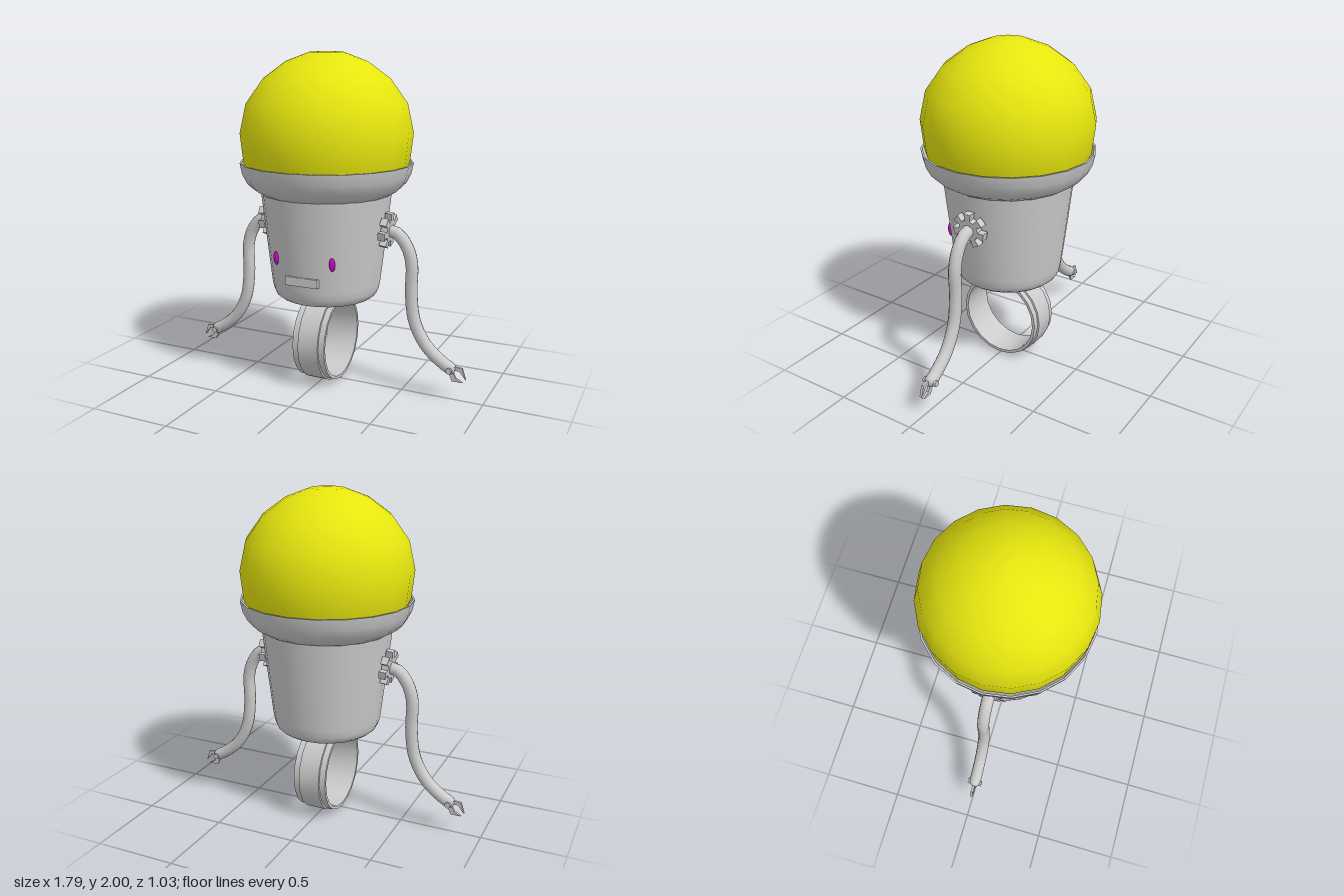
import * as THREE from 'three';
import { toCreasedNormals } from 'three/addons/utils/BufferGeometryUtils.js';

const material = (color) => new THREE.MeshStandardMaterial({ color, side: THREE.DoubleSide });
const grey = material(0xcccccc);
const yellow = material(0xe6e60f);
const magenta = material(0xcc00cc);

function add(parent, name, geometry, mat = grey) {
  const mesh = new THREE.Mesh(geometry, mat);
  mesh.name = name;
  parent.add(mesh);
  return mesh;
}

const vectors = (points) => points.map(([x, y]) => new THREE.Vector2(x, y));
const lathe = (points, segments = 20) => new THREE.LatheGeometry(vectors(points), segments);

// Flat outline given thickness, centred on z = 0
function plate(points, depth) {
  const geometry = new THREE.ExtrudeGeometry(new THREE.Shape(vectors(points)), { depth, bevelEnabled: false });
  return geometry.translate(0, 0, -depth / 2);
}

// Seven-toothed cog outline, teeth flaring slightly outward
function cogPoints(teeth, inner, outer) {
  const points = [];
  for (let i = 0; i < teeth; i++) {
    const middle = Math.PI / 2 + (i * 2 * Math.PI) / teeth;
    for (const [offset, r] of [[-0.24, inner], [-0.23, outer], [0.23, outer], [0.24, inner]]) {
      points.push([r * Math.cos(middle + offset), r * Math.sin(middle + offset)]);
    }
  }
  return points;
}

function createArm(name) {
  const arm = new THREE.Group();
  arm.name = name;

  // Shoulder cog, leaning with the body wall
  const cog = plate(cogPoints(7, 0.065, 0.106), 0.042).rotateY(Math.PI / 2).rotateZ(-0.1);
  add(arm, 'shoulderCog', cog).position.set(0.395, 0.98, 0);

  // Bent limb
  const path = new THREE.CatmullRomCurve3([
    [0.37, 0.98], [0.45, 0.968], [0.512, 0.9], [0.547, 0.797], [0.548, 0.617],
    [0.573, 0.445], [0.645, 0.31], [0.74, 0.225], [0.8, 0.19],
  ].map(([x, y]) => new THREE.Vector3(x, y, 0)));
  add(arm, 'limb', new THREE.TubeGeometry(path, 24, 0.037, 12));

  // Wrist joint and pin
  add(arm, 'wrist', new THREE.SphereGeometry(0.037, 12, 8)).position.set(0.795, 0.193, 0);
  const pin = toCreasedNormals(new THREE.CylinderGeometry(0.018, 0.018, 0.09, 10).rotateX(Math.PI / 2), 0.7);
  add(arm, 'wristPin', pin).position.set(0.8, 0.188, 0);

  // Two bent claws
  add(arm, 'upperClaw', plate([
    [0.79, 0.178], [0.82, 0.182], [0.855, 0.184], [0.894, 0.135], [0.872, 0.202], [0.81, 0.208],
  ], 0.016));
  add(arm, 'lowerClaw', plate([
    [0.785, 0.175], [0.813, 0.115], [0.875, 0.115], [0.833, 0.137], [0.815, 0.178],
  ], 0.016));
  return arm;
}

export function createModel() {
  const model = new THREE.Group();
  model.name = 'robot';

  // Tapered pot body with a rounded foot
  add(model, 'body', lathe([
    [0, 0.54], [0.262, 0.54], [0.285, 0.545], [0.308, 0.563], [0.322, 0.595], [0.33, 0.64],
    [0.36, 0.9], [0.392, 1.19],
  ], 24));

  // Collar bowl with a thin lip
  add(model, 'collar', toCreasedNormals(lathe([
    [0.34, 1.178], [0.392, 1.178], [0.44, 1.207], [0.474, 1.24], [0.502, 1.295], [0.515, 1.36],
    [0.504, 1.36], [0.49, 1.298], [0.462, 1.25], [0.36, 1.19],
  ]), 0.75));

  // Dome
  add(model, 'dome', lathe([
    [0.38, 1.19], [0.44, 1.25], [0.492, 1.36], [0.511, 1.535], [0.473, 1.705], [0.372, 1.845],
    [0.24, 1.942], [0.1, 1.995], [0, 2],
  ]), yellow);

  // Hollow wheel with a raised tread
  const wheel = toCreasedNormals(lathe([
    [0.242, -0.104], [0.26, -0.104], [0.26, -0.067], [0.27, -0.065], [0.27, 0.065], [0.26, 0.067],
    [0.26, 0.104], [0.242, 0.104], [0.242, -0.104],
  ]), 0.6).rotateZ(Math.PI / 2);
  add(model, 'wheel', wheel).position.y = 0.27;

  // Face
  for (const side of [-1, 1]) {
    const eye = add(model, side > 0 ? 'leftEye' : 'rightEye', new THREE.SphereGeometry(1, 12, 10), magenta);
    eye.scale.set(0.018, 0.041, 0.014);
    eye.position.set(side * 0.18, 0.82, 0.307);
    eye.rotation.set(0.1, side * 0.3, 0);
  }
  add(model, 'mouth', new THREE.BoxGeometry(0.206, 0.052, 0.05)).position.set(0, 0.703, 0.32);

  // Arms
  const rightArm = createArm('rightArm');
  rightArm.rotation.y = Math.PI;
  model.add(createArm('leftArm'), rightArm);

  return model;
}
